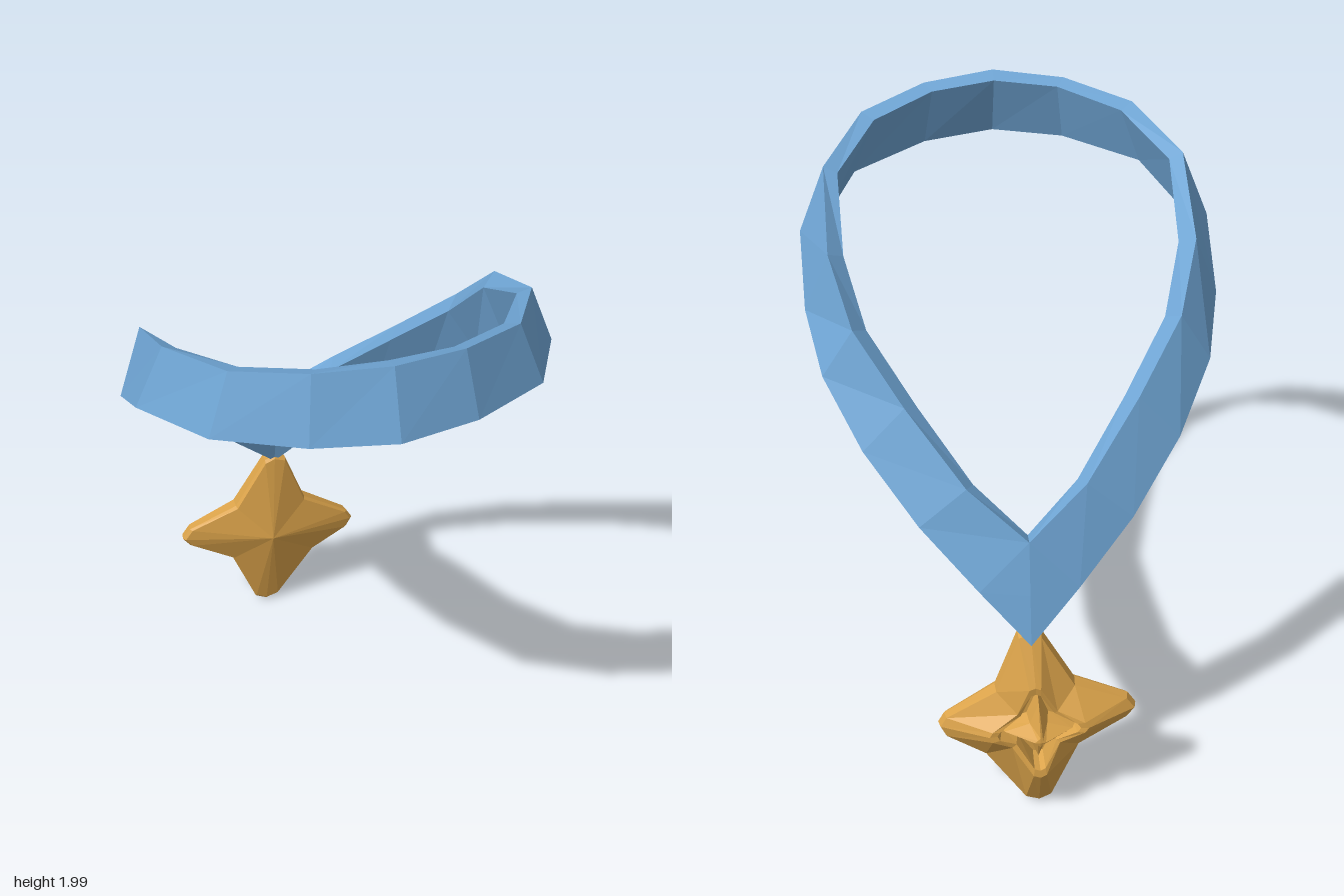
import * as THREE from 'three';

const blue = new THREE.MeshStandardMaterial({ color: 0x6fa5d4 });
blue.name = 'ribbonBlue';
const gold = new THREE.MeshStandardMaterial({ color: 0xdba34a });
gold.name = 'medalGold';

// Joins a series of closed loops with flat-shaded faces
function loft(loops, closed) {
  const pos = [];
  const n = loops[0].length;
  const last = closed ? loops.length : loops.length - 1;
  for (let i = 0; i < last; i++) {
    const a = loops[i], b = loops[(i + 1) % loops.length];
    for (let j = 0; j < n; j++) {
      const k = (j + 1) % n;
      pos.push(...a[j], ...b[j], ...b[k], ...a[j], ...b[k], ...a[k]);
    }
  }
  const g = new THREE.BufferGeometry();
  g.setAttribute('position', new THREE.Float32BufferAttribute(pos, 3));
  g.computeVertexNormals();
  return g;
}

function part(name, geometry, material) {
  const m = new THREE.Mesh(geometry, material);
  m.name = name;
  return m;
}

// Ribbon stations on one side: outer bottom, outer top, inner top
const stations = [
  [[0, 1.78, 0.815], [0, 2.0, 0.735], [0, 1.985, 0.68]],
  [[0.26, 1.77, 0.75], [0.235, 1.985, 0.685], [0.21, 1.97, 0.645]],
  [[0.52, 1.745, 0.59], [0.45, 1.95, 0.555], [0.41, 1.935, 0.52]],
  [[0.67, 1.67, 0.27], [0.585, 1.89, 0.29], [0.54, 1.87, 0.28]],
  [[0.665, 1.53, 0], [0.585, 1.75, -0.04], [0.535, 1.72, 0]],
  [[0.62, 1.4, -0.2], [0.52, 1.57, -0.21], [0.475, 1.54, -0.16]],
  [[0.505, 1.22, -0.37], [0.37, 1.375, -0.37], [0.33, 1.35, -0.32]],
  [[0.34, 1.03, -0.53], [0.19, 1.17, -0.535], [0.165, 1.15, -0.48]],
  [[0.16, 0.845, -0.64], [0, 1.015, -0.62], [0, 1.005, -0.565]],
  [[0, 0.67, -0.705], [0, 0.84, -0.665], [0, 0.85, -0.6]],
];

function ribbonGeometry() {
  const right = stations.map(([ob, ot, it]) =>
    [ob, ot, it, it.map((v, i) => v + ob[i] - ot[i])]);
  const left = right.slice(1, -1).reverse().map(s => s.map(([x, y, z]) => [-x, y, z]));
  return loft([...right, ...left], true);
}

// Star outline, anticlockwise from the right tip: three points per tip, then a notch
const cx = -0.02, cy = 0.36;
const outline = [
  [0.28, 0.305], [0.3, 0.345], [0.28, 0.38], [0.115, 0.485],
  [0.04, 0.69], [0, 0.705], [-0.035, 0.69], [-0.145, 0.495],
  [-0.32, 0.42], [-0.347, 0.38], [-0.32, 0.345], [-0.16, 0.25],
  [-0.07, 0.03], [-0.03, 0.01], [0.015, 0.025], [0.15, 0.23],
];

// Scaled outline at a given depth, with its own depth at the notches
function starLoop(scale, zTip, zNotch, tilt = 0) {
  return outline.map(([x, y], i) => [
    cx + (x - cx) * scale,
    cy + (y - cy) * scale,
    (i % 4 === 3 ? zNotch : zTip) + tilt * (y - cy),
  ]);
}

// Small four-pointed spike set in the hollow on the reverse
function spikeGeometry() {
  const ring = (tip, notch, z) => Array.from({ length: 8 }, (_, i) => {
    const r = i % 2 ? notch : tip, a = i * Math.PI / 4;
    return [cx + Math.cos(a) * r, cy + Math.sin(a) * r, z];
  });
  return loft([ring(0.13, 0.05, -0.7), ring(0.11, 0.04, -0.75),
    ring(0.018, 0.012, -0.815), ring(0, 0, -0.818)], false);
}

export function createModel() {
  const model = new THREE.Group();
  model.name = 'neckRibbonWithStarMedal';
  model.add(part('ribbon', ribbonGeometry(), blue));

  // Faceted front, thin rim, raised back ridge and a hollow
  const star = loft([
    starLoop(0, -0.593, -0.593),
    starLoop(0.97, -0.65, -0.645, 0.06),
    starLoop(1, -0.66, -0.66, 0.06),
    starLoop(0.98, -0.69, -0.7, 0.03),
    starLoop(0.5, -0.768, -0.75, 0.05),
    starLoop(0.42, -0.765, -0.745, 0.05),
    starLoop(0.38, -0.7, -0.7),
    starLoop(0, -0.7, -0.7),
  ], false);
  const medal = new THREE.Group();
  medal.name = 'medal';
  medal.add(part('star', star, gold), part('backSpike', spikeGeometry(), gold));
  model.add(medal);
  return model;
}
